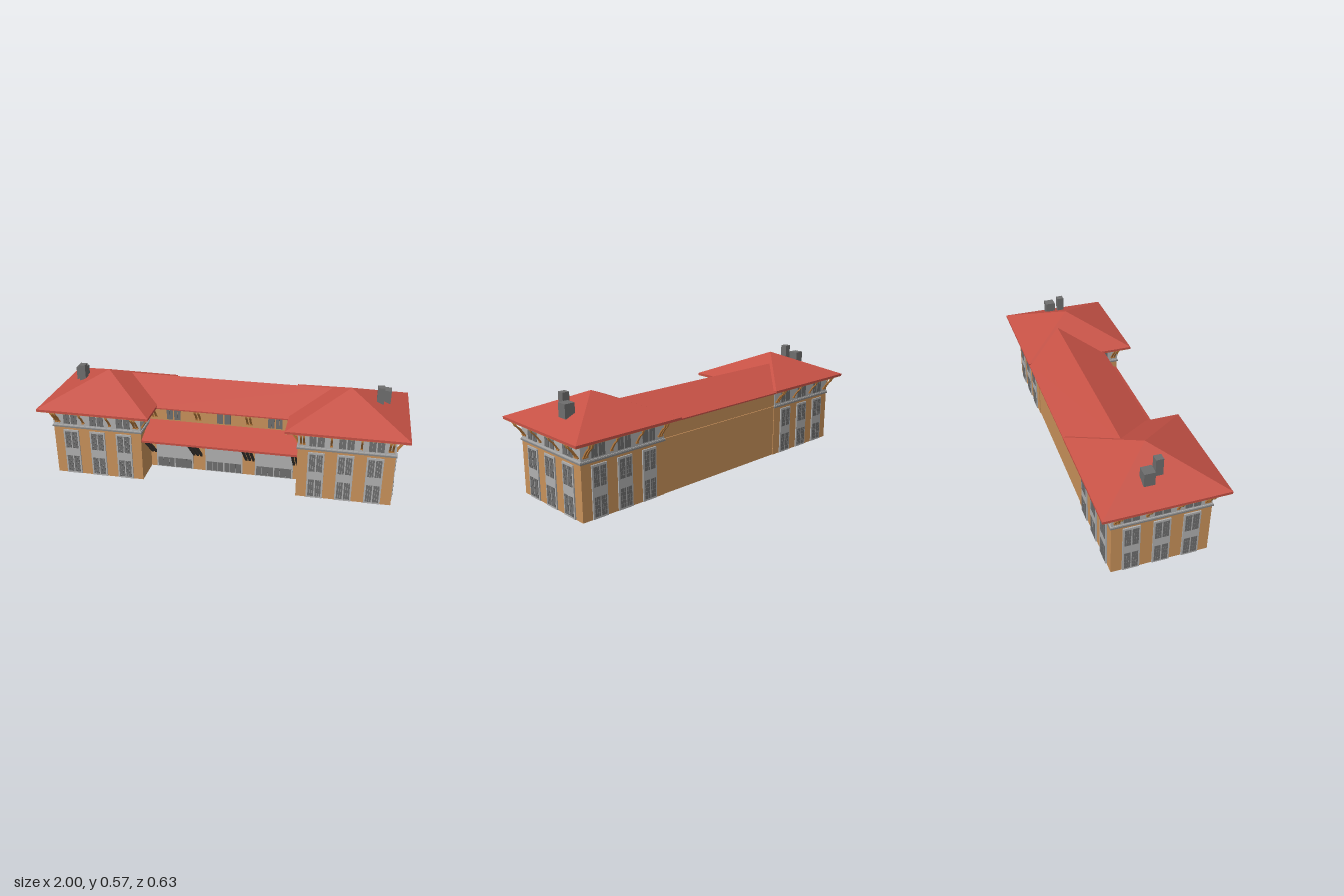
import * as THREE from 'three';
import { mergeGeometries } from 'three/addons/utils/BufferGeometryUtils.js';

const paint = (name, color, flat = true) => {
  const m = new THREE.MeshStandardMaterial({ color, flatShading: flat });
  m.name = name;
  return m;
};
const tan = paint('tan wall', 0xc8915a);
const red = paint('red tile', 0xc65145);
const pale = paint('pale stone', 0xb0b0b0);
const dark = paint('dark glass', 0x6e6e6e);
const mid = paint('cornice grey', 0x858585);
const wood = paint('bracket wood', 0xb87a3c);
const black = paint('strut iron', 0x3f3a36);

function add(parent, name, geometry, material, x = 0, y = 0, z = 0) {
  const m = new THREE.Mesh(geometry, material);
  m.name = name;
  m.position.set(x, y, z);
  parent.add(m);
  return m;
}

// Box given by its limits
function block(parent, name, material, x0, x1, y0, y1, z0, z1) {
  const g = new THREE.BoxGeometry(x1 - x0, y1 - y0, z1 - z0);
  return add(parent, name, g, material, (x0 + x1) / 2, (y0 + y1) / 2, (z0 + z1) / 2);
}

// Outline in (z, y), extruded along x and centred
function extrudeX(points, length) {
  const shape = new THREE.Shape(points.map(p => new THREE.Vector2(p[0], p[1])));
  const g = new THREE.ExtrudeGeometry(shape, { depth: length, bevelEnabled: false });
  return g.translate(0, 0, -length / 2).rotateY(-Math.PI / 2);
}

// Pair of window leaves divided into small lights
function windowGeometry(width, height, cols, rows) {
  const list = [], leaf = (width - 0.006) / 2, gap = 0.0012;
  const w = leaf / cols, h = height / rows;
  for (const side of [-1, 1])
    for (let i = 0; i < cols; i++)
      for (let j = 0; j < rows; j++)
        list.push(new THREE.BoxGeometry(w - gap, h - gap, 0.003).translate(
          side * (0.003 + w * (i + 0.5)), h * (j + 0.5), 0));
  return mergeGeometries(list);
}
const tallWindow = windowGeometry(0.071, 0.102, 3, 5);
const upperWindow = windowGeometry(0.08, 0.075, 2, 1);

// Curved eave bracket, with a foot on the wall and a head under the eave
function bracketGeometry() {
  const curve = new THREE.SplineCurve([[0.002, 0.322], [0.017, 0.345], [0.033, 0.366], [0.048, 0.379], [0.053, 0.399]]
    .map(p => new THREE.Vector2(...p)));
  const outer = [], inner = [];
  for (let i = 0; i <= 10; i++) {
    const p = curve.getPoint(i / 10), t = curve.getTangent(i / 10);
    outer.push([p.x + t.y * 0.003, p.y - t.x * 0.003]);
    inner.unshift([p.x - t.y * 0.003, p.y + t.x * 0.003]);
  }
  return mergeGeometries([
    extrudeX([...outer, ...inner], 0.01).toNonIndexed(),
    new THREE.BoxGeometry(0.014, 0.008, 0.008).translate(0, 0.322, 0.004).toNonIndexed(),
    new THREE.BoxGeometry(0.013, 0.008, 0.012).translate(0, 0.395, 0.052).toNonIndexed(),
  ].map(g => g.index ? g.toNonIndexed() : g));
}
const bracket = bracketGeometry();

// One side of a wing: local x along the wall, local z outwards
function wingFace(angle, half, full) {
  const face = new THREE.Group();
  face.name = 'wingFacade';
  face.rotation.y = angle;
  if (full) {
    for (const x of [-0.153, 0, 0.153]) {
      block(face, 'windowBay', pale, x - 0.044, x + 0.044, 0.002, 0.275, half - 0.002, half + 0.007);
      add(face, 'lowerWindow', tallWindow, dark, x, 0.012, half + 0.0075);
      add(face, 'middleWindow', tallWindow, dark, x, 0.163, half + 0.0075);
      add(face, 'upperWindow', upperWindow, dark, x, 0.31, half + 0.001);
    }
  }
  const places = full ? [-0.235, -0.219, -0.077, 0.077, 0.219, 0.235] : [];
  for (const x of places) add(face, 'eaveBracket', bracket, wood, x, 0, half);
  return face;
}

function wing(side) {
  const g = new THREE.Group(), h = 0.253;
  g.name = side > 0 ? 'leftWing' : 'rightWing';
  g.position.x = side * 0.683;
  block(g, 'wingWall', tan, -h, h, 0, 0.292, -h, h);
  block(g, 'upperStorey', pale, -h, h, 0.292, 0.399, -h, h);
  block(g, 'corniceLower', mid, -h - 0.006, h + 0.006, 0.289, 0.297, -h - 0.006, h + 0.006);
  block(g, 'corniceUpper', pale, -h - 0.004, h + 0.004, 0.297, 0.303, -h - 0.004, h + 0.004);

  for (const a of [0, Math.PI, side * Math.PI / 2]) g.add(wingFace(a, h, true));

  // Short stretch of inner wall in front of the central hall
  const inner = wingFace(-side * Math.PI / 2, h, false);
  g.add(inner);
  add(inner, 'upperWindow', upperWindow, dark, side * 0.153, 0.31, h + 0.001);
  for (const x of [0.219, 0.235]) add(inner, 'eaveBracket', bracket, wood, side * x, 0, h);

  // Pyramid roof with eave board and soffit
  const r = 0.317;
  block(g, 'soffit', tan, -r + 0.001, r - 0.001, 0.398, 0.4, -r + 0.001, r - 0.001);
  block(g, 'eaveBoard', red, -r, r, 0.4, 0.413, -r, r);
  const cone = new THREE.ConeGeometry(r * Math.SQRT2, 0.138, 4, 1, true).rotateY(Math.PI / 4);
  add(g, 'pyramidRoof', cone, red, 0, 0.482, 0);

  // Two chimneys
  const cx = side * 0.183, sx = side * 0.155;
  block(g, 'wideChimney', dark, cx - 0.028, cx + 0.028, 0.462, 0.535, -0.084, -0.028);
  block(g, 'tallChimney', dark, sx - 0.019, sx + 0.019, 0.478, 0.571, -0.014, 0.025);
  return g;
}

function hall() {
  const g = new THREE.Group(), front = 0.083;
  g.name = 'centralHall';
  block(g, 'hallWall', tan, -0.44, 0.44, 0, 0.398, -0.249, front);
  block(g, 'rearLedge', tan, -0.43, 0.43, 0.29, 0.3, -0.255, -0.24);

  // Gable roof whose ends splay into the wing roofs
  const roof = extrudeX([[0.15, 0.398], [0.15, 0.405], [-0.083, 0.505], [-0.315, 0.405], [-0.315, 0.398]], 2);
  const p = roof.attributes.position;
  for (let i = 0; i < p.count; i++)
    p.setX(i, Math.sign(p.getX(i)) * (0.385 + (p.getY(i) - 0.398) * 2));
  roof.computeVertexNormals();
  add(g, 'gableRoof', roof, red);

  // Sloping canopy
  add(g, 'canopy', extrudeX([[front - 0.005, 0.288], [0.25, 0.234], [0.25, 0.246], [front - 0.005, 0.303]], 0.86), red);

  // Arched openings with glazing, and the windows above
  for (const x of [-0.288, 0, 0.288]) {
    const arch = new THREE.Shape();
    arch.moveTo(-0.108, 0.002);
    arch.lineTo(0.108, 0.002);
    arch.lineTo(0.108, 0.16);
    arch.absellipse(0, 0.16, 0.108, 0.09, 0, Math.PI, false);
    arch.lineTo(-0.108, 0.002);
    add(g, 'archPanel', new THREE.ExtrudeGeometry(arch, { depth: 0.005, bevelEnabled: false, curveSegments: 16 }), pale, x, 0, front);
    const glass = windowGeometry(0.2, 0.058, 3, 1);
    add(g, 'archGlass', glass, dark, x, 0.006, front + 0.005);
    add(g, 'hallUpperWindow', upperWindow, dark, x, 0.308, front + 0.001);
  }

  // Canopy struts and eave brackets
  const from = new THREE.Vector3(0, 0.095, front), to = new THREE.Vector3(0, 0.242, 0.235);
  const length = from.distanceTo(to), angle = Math.atan2(to.z - from.z, to.y - from.y);
  for (const x of [-0.419, -0.4, -0.172, -0.151, -0.13, 0.13, 0.151, 0.172, 0.4, 0.419]) {
    const strut = add(g, 'canopyStrut', new THREE.BoxGeometry(0.012, length, 0.012), black, x, 0.1685, (from.z + to.z) / 2);
    strut.rotation.x = angle;
  }
  for (const x of [-0.41, -0.39, -0.154, -0.134, 0.134, 0.154, 0.39, 0.41])
    add(g, 'eaveBracket', bracket, wood, x, 0, front);
  return g;
}

export function createModel() {
  const model = new THREE.Group();
  model.name = 'stationBuilding';
  model.add(hall(), wing(1), wing(-1));
  return model;
}
